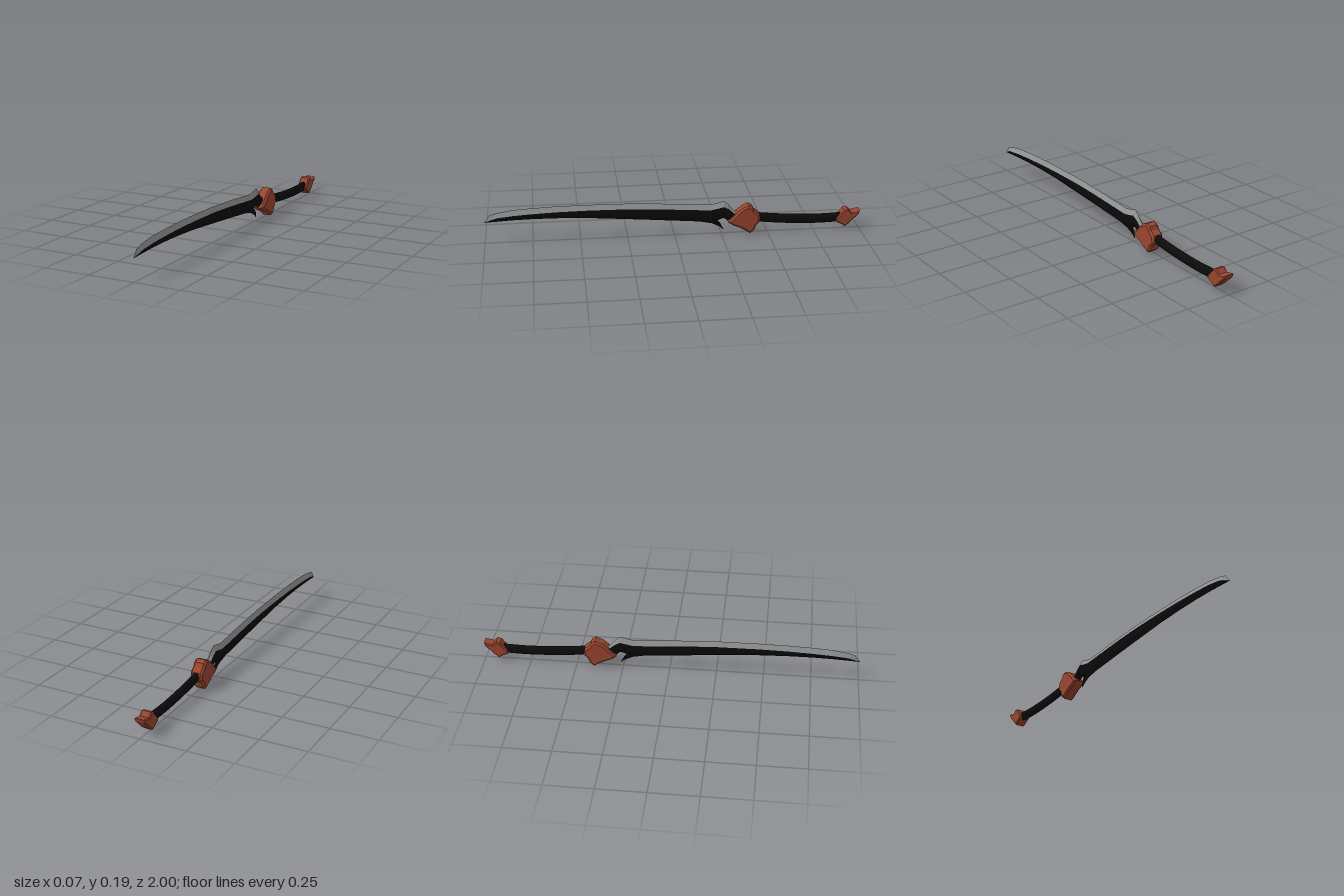
import * as THREE from 'three';

const steel = new THREE.MeshStandardMaterial({ color: 0x8e9292 });
steel.name = 'steel';
const black = new THREE.MeshStandardMaterial({ color: 0x0b0b0b });
black.name = 'black';
const copper = new THREE.MeshStandardMaterial({ color: 0x9a4630 });
copper.name = 'copper';

// Six-sided blade sections [z, top, shoulder, bottom, halfWidth], joined along chosen sides
function loft(sections, sides) {
  const rings = sections.map(([z, top, shoulder, bottom, w]) => {
    const low = Math.min(shoulder, bottom + 0.025);
    return [[0, top, z], [-w, shoulder, z], [-w, low, z], [0, bottom, z], [w, low, z], [w, shoulder, z]];
  });
  const pos = [];
  for (let i = 0; i < rings.length - 1; i++) {
    for (const j of sides) {
      const k = (j + 1) % 6;
      const a = rings[i][j], b = rings[i][k], c = rings[i + 1][k], d = rings[i + 1][j];
      pos.push(...a, ...d, ...c, ...a, ...c, ...b);
    }
  }
  const geo = new THREE.BufferGeometry();
  geo.setAttribute('position', new THREE.Float32BufferAttribute(pos, 3));
  geo.computeVertexNormals();
  return geo;
}

// Side profile [z, y] extruded across x with chamfered rims
function plate(profile, halfWidth, chamfer) {
  const shape = new THREE.Shape(profile.map(([z, y]) => new THREE.Vector2(z, y)));
  const depth = 2 * (halfWidth - chamfer);
  const geo = new THREE.ExtrudeGeometry(shape, {
    depth, bevelEnabled: true, bevelSegments: 1,
    bevelThickness: chamfer, bevelSize: chamfer, bevelOffset: -chamfer,
  });
  geo.translate(0, 0, -depth / 2);
  geo.rotateY(-Math.PI / 2);
  return geo;
}

export function createModel() {
  const sword = new THREE.Group();
  sword.name = 'sword';
  const add = (name, geo, mat) => {
    const mesh = new THREE.Mesh(geo, mat);
    mesh.name = name;
    sword.add(mesh);
  };

  // Curved blade: ground steel edge on top, black body beneath
  const W = 0.0135;
  const blade = [
    [1.0, 0.115, 0.115, 0.115, 0],
    [0.97, 0.156, 0.128, 0.117, 0.007],
    [0.93, 0.167, 0.141, 0.119, 0.011],
    [0.85, 0.18, 0.152, 0.123, W],
    [0.75, 0.186, 0.158, 0.125, W],
    [0.62, 0.191, 0.163, 0.124, W],
    [0.46, 0.192, 0.165, 0.118, W],
    [0.25, 0.19, 0.163, 0.102, W],
    [0.1, 0.183, 0.156, 0.09, W],
    [-0.02, 0.176, 0.148, 0.08, W],
    [-0.15, 0.166, 0.139, 0.069, W],
    [-0.19, 0.164, 0.136, 0.066, W],
    [-0.23, 0.173, 0.144, 0.074, W],
    [-0.265, 0.182, 0.152, 0.085, W],
    [-0.285, 0.165, 0.14, 0.068, W],
    [-0.32, 0.125, 0.11, 0.062, W],
    [-0.38, 0.1, 0.09, 0.06, W],
  ];
  add('bladeEdge', loft(blade, [0, 5]), steel);
  add('bladeBody', loft(blade, [1, 2, 3, 4]), black);

  // Hooked spur under the blade root
  add('bladeSpur', loft([
    [-0.14, 0.1, 0.095, 0.069, 0.012],
    [-0.2, 0.095, 0.085, 0.057, 0.0125],
    [-0.225, 0.08, 0.072, 0.045, 0.0125],
    [-0.245, 0.058, 0.05, 0.034, 0.009],
    [-0.265, 0.017, 0.017, 0.017, 0],
  ], [0, 1, 2, 3, 4, 5]), black);

  // Guard
  add('guard', plate([
    [-0.285, 0.068], [-0.33, 0.118], [-0.36, 0.144], [-0.395, 0.159], [-0.417, 0.147],
    [-0.426, 0.128], [-0.453, 0.108], [-0.458, 0.067], [-0.436, 0.045], [-0.426, 0.018],
    [-0.404, 0.0], [-0.377, 0.018], [-0.34, 0.038], [-0.31, 0.05],
  ], 0.033, 0.01), copper);

  // Bowed oval grip
  const path = new THREE.CatmullRomCurve3([
    [-0.41, 0.088], [-0.5, 0.077], [-0.61, 0.067], [-0.77, 0.06], [-0.92, 0.064],
  ].map(([z, y]) => new THREE.Vector3(0, y, z)));
  const grip = new THREE.TubeGeometry(path, 24, 0.026, 16);
  grip.scale(0.68, 1, 1);
  add('grip', grip, black);

  // Flared pommel
  add('pommel', plate([
    [-0.87, 0.045], [-0.875, 0.067], [-0.896, 0.088], [-0.912, 0.11], [-0.933, 0.115],
    [-0.952, 0.095], [-1.0, 0.105], [-0.992, 0.082], [-0.965, 0.057], [-0.944, 0.034],
    [-0.922, 0.016], [-0.901, 0.03],
  ], 0.029, 0.006), copper);

  return sword;
}
